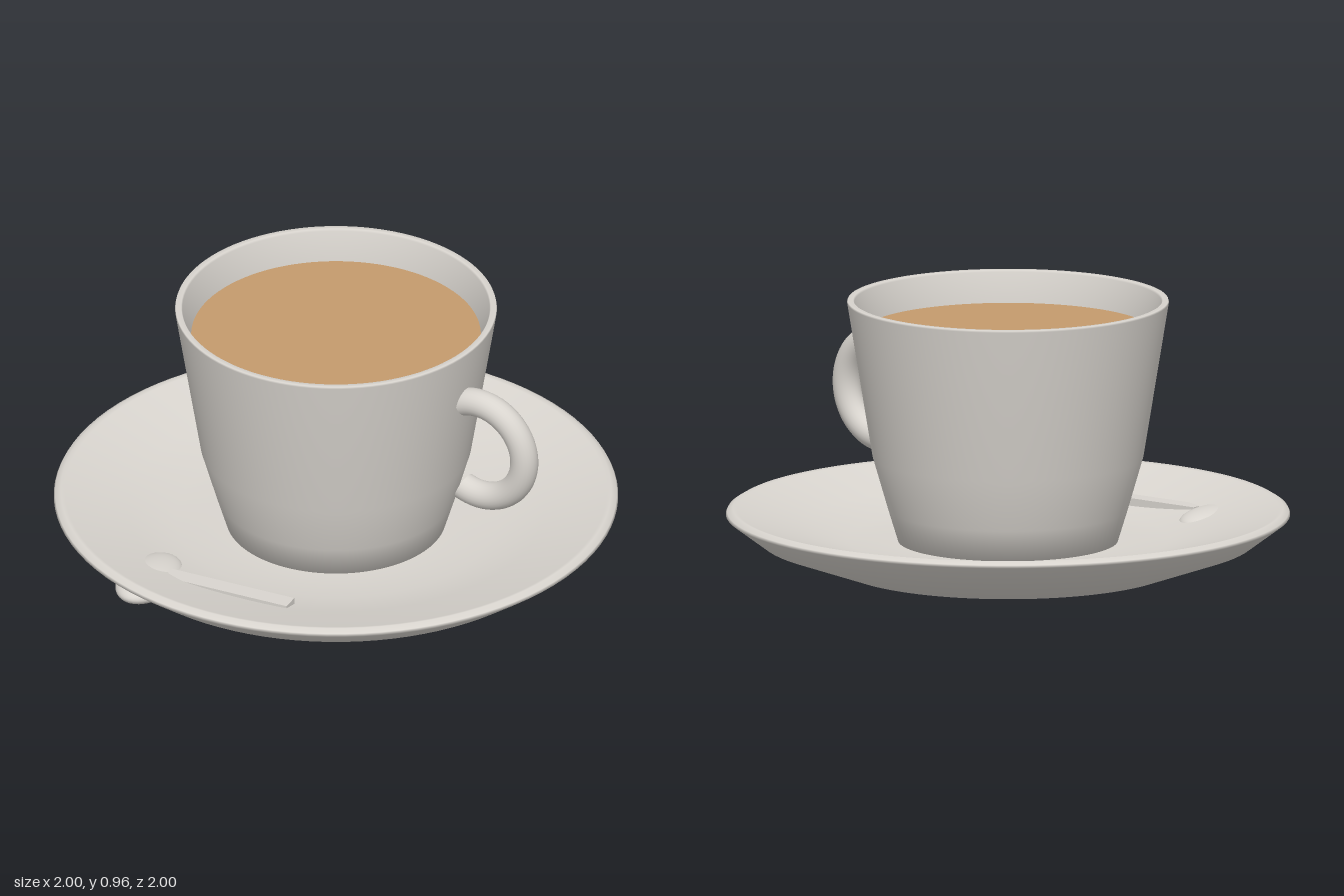
import * as THREE from 'three';

const china = new THREE.MeshStandardMaterial({ color: 0xd8d4ce });
china.name = 'china';
const tea = new THREE.MeshStandardMaterial({ color: 0xc49a6c });
tea.name = 'milkyTea';

function part(name, geometry, material, parent) {
  const mesh = new THREE.Mesh(geometry, material);
  mesh.name = name;
  parent.add(mesh);
  return mesh;
}

// Surface of revolution from [radius, height] pairs, listed bottom outside to top inside
function lathe(points) {
  return new THREE.LatheGeometry(points.map(([r, y]) => new THREE.Vector2(r, y)), 96);
}

export function createModel() {
  const model = new THREE.Group();
  model.name = 'cupAndSaucer';

  // Saucer: flat foot, flared underside, thin rim and shallow dish
  part('saucer', lathe([
    [0, 0], [0.6, 0], [0.88, 0.1], [1, 0.19], [0.995, 0.2], [0.975, 0.212], [0.96, 0.208],
    [0.74, 0.142], [0.57, 0.1], [0.4, 0.095], [0, 0.095],
  ]), china, model);

  // Cup: tapered wall with a hollow inside
  part('cup', lathe([
    [0, 0.08], [0.385, 0.08], [0.425, 0.21], [0.48, 0.4], [0.57, 0.955], [0.568, 0.962],
    [0.548, 0.962], [0.544, 0.955], [0.513, 0.85], [0.45, 0.4], [0.37, 0.12], [0, 0.12],
  ]), china, model);

  // Drink surface
  const drink = part('drink', new THREE.CircleGeometry(0.514, 96), tea, model);
  drink.rotation.x = -Math.PI / 2;
  drink.position.y = 0.85;

  // Handle: open ring with capped ends
  const handle = new THREE.Group();
  handle.name = 'handle';
  handle.position.set(0.6, 0.565, 0);
  model.add(handle);
  const radius = 0.185, tube = 0.05, half = 1.95;
  const ring = part('handleRing', new THREE.TorusGeometry(radius, tube, 24, 64, half * 2), china, handle);
  ring.rotation.z = -half;
  for (const side of [-1, 1]) {
    const cap = part('handleEnd', new THREE.CircleGeometry(tube, 24), china, handle);
    const a = side * half;
    cap.position.set(Math.cos(a) * radius, Math.sin(a) * radius, 0);
    cap.lookAt(cap.position.x - side * Math.sin(a), cap.position.y + side * Math.cos(a), 0);
  }

  // Spoon resting in the dish: flattened bowl and straight stem
  const spoon = new THREE.Group();
  spoon.name = 'spoon';
  model.add(spoon);
  const bowl = part('spoonBowl', new THREE.SphereGeometry(1, 40, 24), china, spoon);
  bowl.scale.set(0.105, 0.05, 0.172);
  bowl.position.set(-0.325, 0.11, 0.73);
  bowl.rotation.y = 0.11;
  const stem = part('spoonStem', new THREE.BoxGeometry(0.48, 0.03, 0.064), china, spoon);
  stem.position.set(-0.015, 0.134, 0.692);
  stem.rotation.y = 0.11;

  return model;
}
